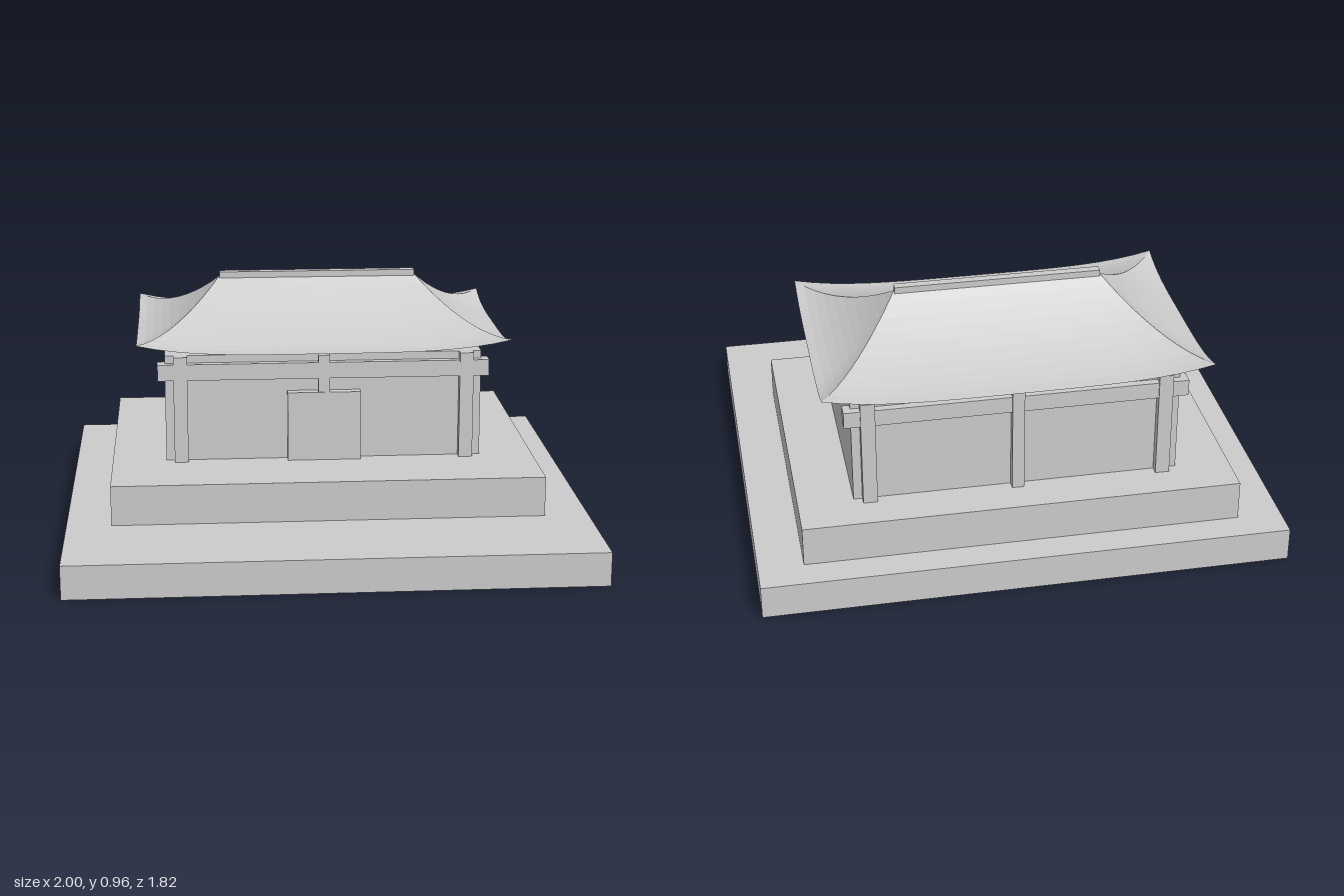
import * as THREE from 'three';

const CZ = -0.235; // centre line of the building, set back on the terrace

export function createModel() {
  const model = new THREE.Group();
  const stone = new THREE.MeshStandardMaterial({ color: 0xcccccc });
  stone.name = 'light grey';
  stone.side = THREE.DoubleSide;

  // Box from its min and max along each axis
  function box(name, x0, x1, y0, y1, z0, z1) {
    const mesh = new THREE.Mesh(new THREE.BoxGeometry(x1 - x0, y1 - y0, z1 - z0), stone);
    mesh.position.set((x0 + x1) / 2, (y0 + y1) / 2, (z0 + z1) / 2);
    mesh.name = name;
    model.add(mesh);
  }

  // Stepped terrace
  box('lowerTerrace', -1, 1, 0, 0.13, -0.908, 0.908);
  box('upperTerrace', -0.83, 0.83, 0.13, 0.285, -0.79, 0.48);

  // Hall
  box('walls', -0.62, 0.62, 0.285, 0.708, CZ - 0.39, CZ + 0.39);

  // Posts and tie beams on the front and back
  for (const side of [1, -1]) {
    const label = side > 0 ? 'front' : 'back';
    const span = (a, b) => [CZ + side * a, CZ + side * b].sort((p, q) => p - q);
    for (const [x, w] of [[-0.56, 0.027], [0, 0.023], [0.56, 0.027]]) {
      box(label + 'Post', x - w, x + w, 0.285, 0.708, ...span(0.37, 0.424));
    }
    box(label + 'Beam', -0.648, 0.648, 0.614, 0.678, ...span(0.363, 0.419));
  }
  box('door', -0.143, 0.143, 0.285, 0.56, CZ + 0.38, CZ + 0.427);

  // Curved hipped roof: s runs along the eave (-1..1), t from ridge to eave (0..1)
  const RIDGE = 0.395, EAVE_X = 0.73, EAVE_Z = 0.478;
  const height = (s, t) =>
    0.727 + 0.215 * Math.pow(1 - t, 1.65) + 0.044 * Math.pow(Math.abs(s), 4) * t * t;

  function roofSlope(name, isEnd) {
    let geo = new THREE.PlaneGeometry(2, 1, 20, 10);
    const p = geo.attributes.position;
    for (let i = 0; i < p.count; i++) {
      const s = p.getX(i), t = 0.5 - p.getY(i);
      const reach = RIDGE + (EAVE_X - RIDGE) * t;
      if (isEnd) p.setXYZ(i, reach, height(s, t), -s * EAVE_Z * t);
      else p.setXYZ(i, s * reach, height(s, t), EAVE_Z * t);
    }
    geo = geo.toNonIndexed();
    geo.computeVertexNormals();
    const mesh = new THREE.Mesh(geo, stone);
    mesh.name = name;
    mesh.position.z = CZ;
    model.add(mesh);
    return mesh;
  }
  roofSlope('frontRoof', false);
  roofSlope('backRoof', false).rotation.y = Math.PI;
  roofSlope('leftRoof', true);
  roofSlope('rightRoof', true).rotation.y = Math.PI;

  // Ridge bar
  box('ridge', -RIDGE, RIDGE, 0.935, 0.96, CZ - 0.017, CZ + 0.017);

  return model;
}
